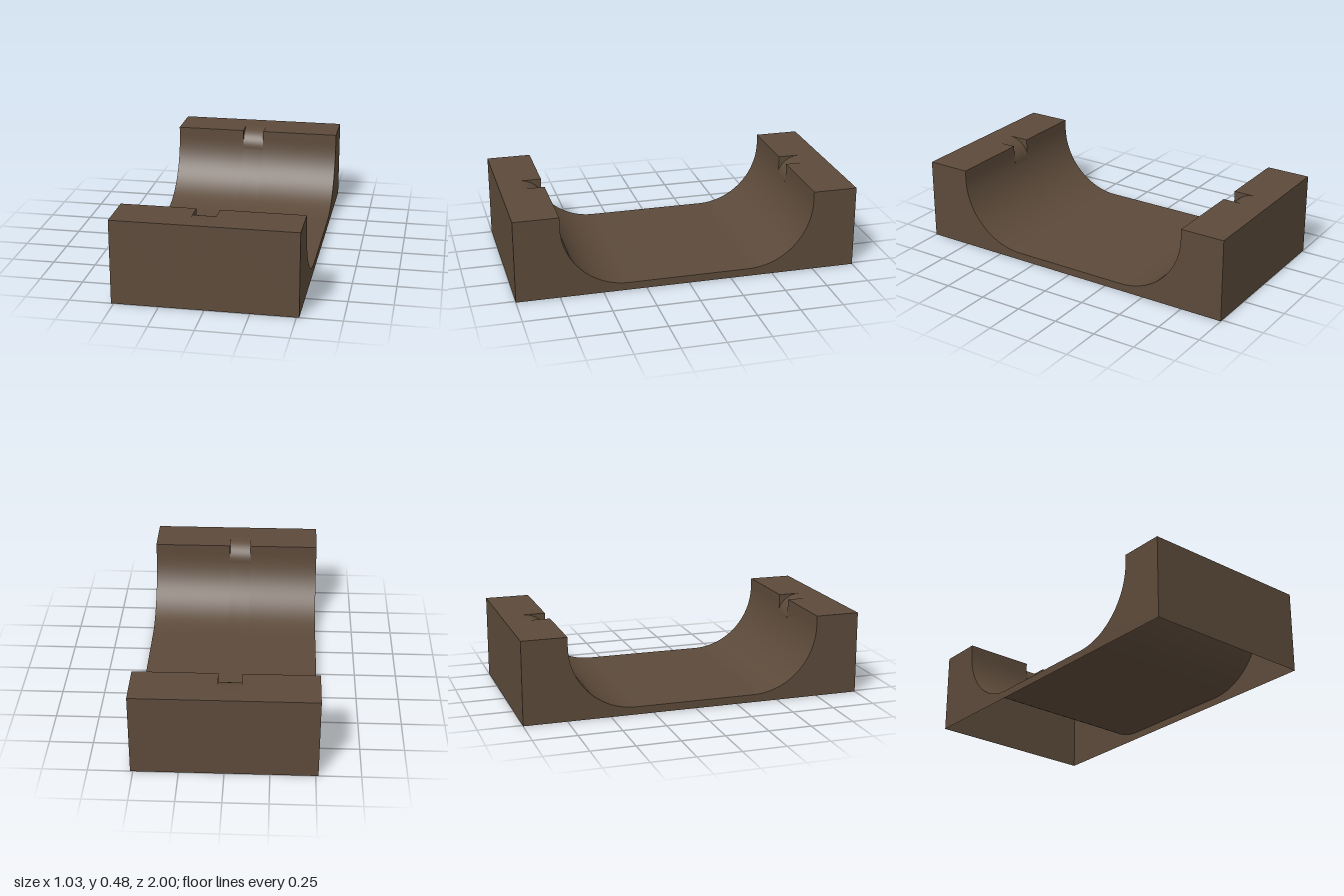
import * as THREE from 'three';
import { toCreasedNormals } from 'three/addons/utils/BufferGeometryUtils.js';

const HALF_WIDTH = 0.515, HEIGHT = 0.483, FLOOR = 0.045;
const LIP = 0.74, RADIUS = 0.385;                  // channel lip and wall curve
const NOTCH_LEFT = 0.04, NOTCH_RIGHT = -0.09, NOTCH_DEPTH = 0.12, NOTCH_END = 0.87;

// Points [z, y] on an elliptical arc
function arc(cz, cy, rz, ry, from, to, steps) {
  return Array.from({ length: steps + 1 }, (_, i) => {
    const a = from + (to - from) * i / steps;
    return [cz + rz * Math.cos(a), cy + ry * Math.sin(a)];
  });
}

// Mirrors a front half profile to the back and joins both, back to front
const mirrored = half => [...half.map(([z, y]) => [-z, y]).reverse(), ...half];

// Sweeps an open [z, y] profile across x
function strip(profile, x0, x1) {
  const pos = [];
  for (let i = 0; i < profile.length - 1; i++) {
    const [z0, y0] = profile[i], [z1, y1] = profile[i + 1];
    const a = [x0, y0, z0], b = [x1, y0, z0], c = [x1, y1, z1], d = [x0, y1, z1];
    pos.push(...a, ...d, ...c, ...a, ...c, ...b);
  }
  const g = new THREE.BufferGeometry();
  g.setAttribute('position', new THREE.Float32BufferAttribute(pos, 3));
  return toCreasedNormals(g, 0.5);
}

// Flat [z, y] outline at x, facing +x (dir 1) or -x (dir -1)
function plate(points, x, dir) {
  const shape = new THREE.Shape(points.map(([z, y]) => new THREE.Vector2(-dir * z, y)));
  return new THREE.ShapeGeometry(shape).rotateY(dir * Math.PI / 2).translate(x, 0, 0);
}

export function createModel() {
  const group = new THREE.Group();
  const brown = new THREE.MeshStandardMaterial({ color: 0x5c4a3a, side: THREE.DoubleSide });
  brown.name = 'brown';
  const add = (name, geometry) => {
    const mesh = new THREE.Mesh(geometry, brown);
    mesh.name = name;
    group.add(mesh);
  };

  // Front half profiles, from the channel floor to the outer foot
  const cz = LIP - RADIUS, cy = FLOOR + RADIUS;
  const curve = arc(cz, cy, RADIUS, RADIUS, -Math.PI / 2, 0, 32);
  const outer = [[1, HEIGHT], [1, 0]];
  const plain = [...curve, [LIP, HEIGHT], ...outer];

  // The notch rounds off the lip down to its lowest point on the curve
  const low = HEIGHT - NOTCH_DEPTH;
  const lowZ = cz + Math.sqrt(RADIUS ** 2 - (low - cy) ** 2);
  const round = arc(NOTCH_END, low, NOTCH_END - lowZ, NOTCH_DEPTH, Math.PI, Math.PI / 2, 14);
  const notched = [...curve.filter(p => p[1] < low - 0.002), ...round, ...outer];

  // Shell: plain at both sides, notched in the middle, open underneath
  const full = mirrored(plain);
  add('rightShell', strip(full, -HALF_WIDTH, NOTCH_RIGHT));
  add('notchedShell', strip(mirrored(notched), NOTCH_RIGHT, NOTCH_LEFT));
  add('leftShell', strip(full, NOTCH_LEFT, HALF_WIDTH));

  // Side walls
  add('leftSide', plate(full, HALF_WIDTH, 1));
  add('rightSide', plate(full, -HALF_WIDTH, -1));

  // Notch cheeks, front and back
  const cheek = [...round, [LIP, HEIGHT], ...curve.filter(p => p[1] > low + 0.002).reverse()];
  for (const [end, s] of [['front', 1], ['back', -1]]) {
    const outline = cheek.map(([z, y]) => [s * z, y]);
    add(end + 'NotchRightCheek', plate(outline, NOTCH_RIGHT, 1));
    add(end + 'NotchLeftCheek', plate(outline, NOTCH_LEFT, -1));
  }
  return group;
}
